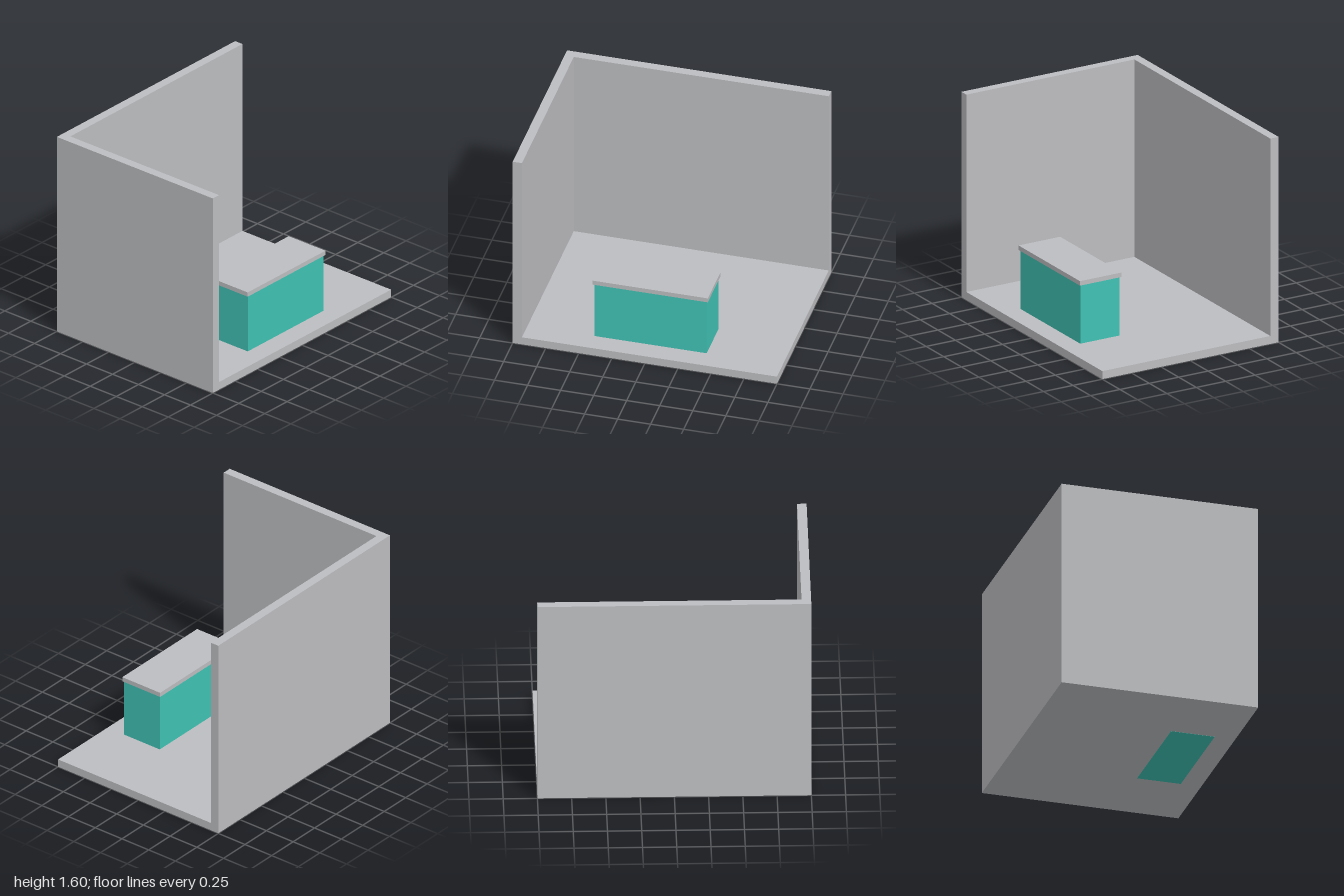
import * as THREE from 'three';

const grey = new THREE.MeshStandardMaterial({ color: 0xbcbdc0 });
grey.name = 'plain grey';
const teal = new THREE.MeshStandardMaterial({ color: 0x40c1b3 });
teal.name = 'counter teal';

// Box given by its extents along each axis
function box(name, material, [x0, x1], [y0, y1], [z0, z1]) {
  const mesh = new THREE.Mesh(new THREE.BoxGeometry(x1 - x0, y1 - y0, z1 - z0), material);
  mesh.position.set((x0 + x1) / 2, (y0 + y1) / 2, (z0 + z1) / 2);
  mesh.name = name;
  return mesh;
}

export function createModel() {
  const model = new THREE.Group();
  model.name = 'roomCorner';
  const floorTop = 0.063, wallTop = 1.6;

  // Room shell: floor slab with a back wall and one side wall
  const room = new THREE.Group();
  room.name = 'room';
  room.add(
    box('floor', grey, [-1, 1], [0.001, floorTop], [-0.75, 0.75]),
    box('backWall', grey, [-1, 1], [floorTop, wallTop], [-0.75, -0.68]),
    box('sideWall', grey, [-1, -0.93], [floorTop, wallTop], [-0.68, 0.75]),
  );

  // Counter: body passes through the floor, with an overhanging top
  const counter = new THREE.Group();
  counter.name = 'counter';
  counter.add(
    box('counterBody', teal, [-0.425, 0.425], [0, 0.52], [0.26, 0.593]),
    box('counterTop', grey, [-0.436, 0.436], [0.52, 0.555], [0.248, 0.602]),
  );

  model.add(room, counter);
  return model;
}
